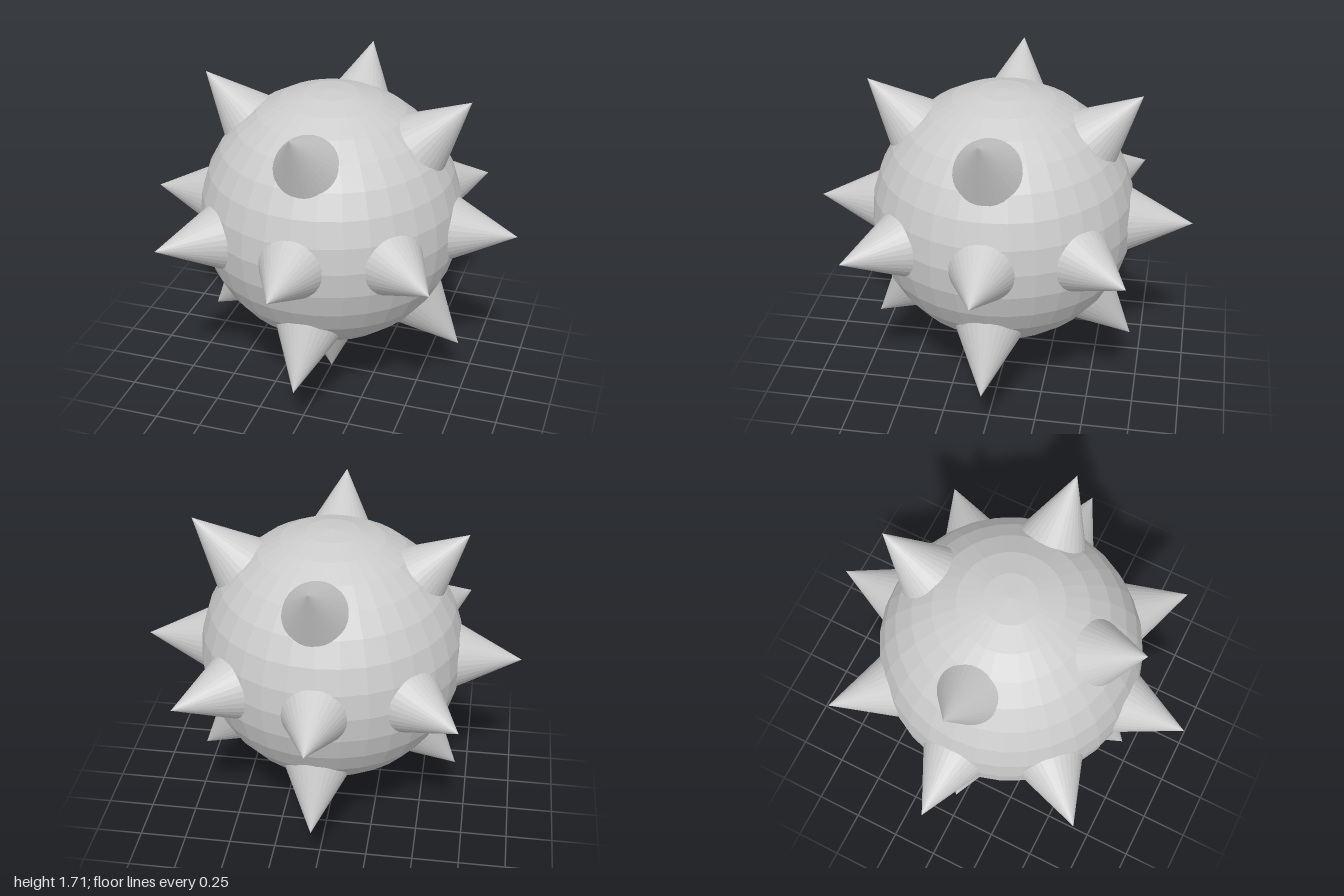
import * as THREE from 'three';

export function createModel() {
  const group = new THREE.Group();
  const material = new THREE.MeshStandardMaterial({ color: 0xcccccc, flatShading: true });
  const up = new THREE.Vector3(0, 1, 0);
  const centre = new THREE.Vector3(0, 1, 0);

  // Faceted ball
  const ball = new THREE.Mesh(new THREE.SphereGeometry(0.695, 32, 16), material);
  ball.name = 'ball';
  ball.position.copy(centre);
  group.add(ball);

  // Cone with its tip at the origin and its base sunk into the ball
  const height = 0.45;
  const cone = new THREE.ConeGeometry(0.225, height, 32);
  cone.translate(0, -height / 2, 0);

  function addSpike(name, azimuth, elevation, shiftX = 0) {
    const direction = new THREE.Vector3(
      Math.cos(elevation) * Math.sin(azimuth),
      Math.sin(elevation),
      Math.cos(elevation) * Math.cos(azimuth)
    );
    const spike = new THREE.Mesh(cone, material);
    spike.name = name;
    spike.quaternion.setFromUnitVectors(up, direction);
    spike.position.copy(centre).add(direction);
    spike.position.x += shiftX;
    group.add(spike);
  }

  // Eight spikes round the middle
  for (let i = 0; i < 8; i++) addSpike('middleSpike', i * Math.PI / 4, 0);

  // Upper and lower rings of four, set slightly to the left
  for (let i = 0; i < 4; i++) {
    addSpike('upperSpike', i * Math.PI / 2, Math.PI / 4, 0.018);
    addSpike('lowerSpike', i * Math.PI / 2, -Math.PI / 4, 0.018);
  }

  // Single spike underneath
  addSpike('bottomSpike', 0, -Math.PI / 2);

  return group;
}
